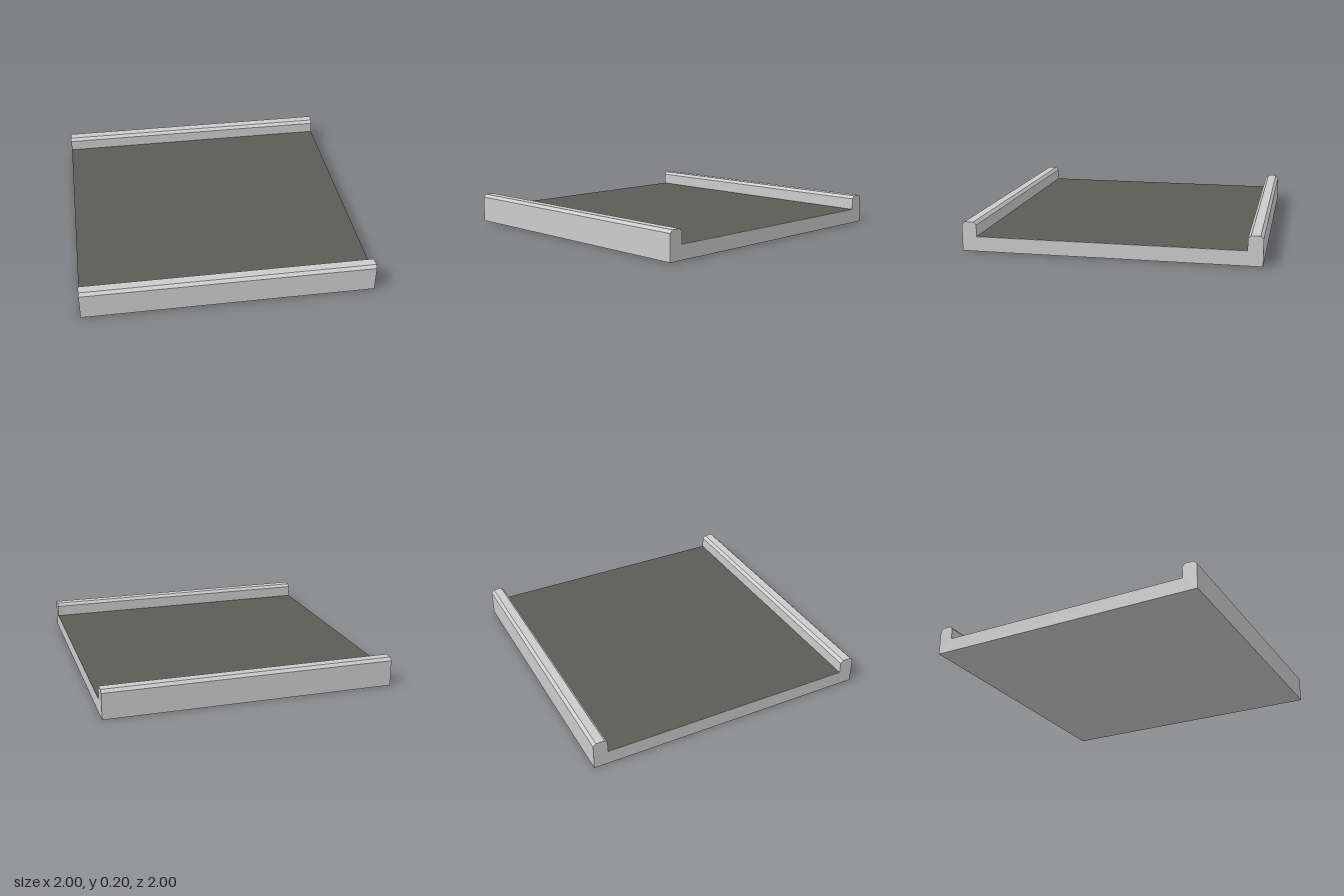
import * as THREE from 'three';

const LENGTH = 2;      // along x
const HALF = 1;        // half width along z
const DECK = 0.1;      // deck height
const RAIL_TOP = 0.2;
const RAIL = 0.1;      // rail thickness
const CHAMFER = 0.02;

export function createModel() {
  const group = new THREE.Group();
  group.name = 'railedFloorTile';

  const lightGrey = new THREE.MeshStandardMaterial({ color: 0xcccccc });
  lightGrey.name = 'light grey';
  const darkGrey = new THREE.MeshStandardMaterial({ color: 0x5c5c56 });
  darkGrey.name = 'dark olive grey';

  // Channel cross-section: slab with a chamfered rail on each side
  const inner = HALF - RAIL;
  const rail = [
    [HALF, 0],
    [HALF, RAIL_TOP - CHAMFER],
    [HALF - CHAMFER, RAIL_TOP],
    [inner + CHAMFER, RAIL_TOP],
    [inner, RAIL_TOP - CHAMFER],
    [inner, DECK],
  ];
  const mirrored = rail.map(([z, y]) => [-z, y]).reverse();
  const section = new THREE.Shape([...rail, ...mirrored].map(([z, y]) => new THREE.Vector2(z, y)));

  const bodyGeometry = new THREE.ExtrudeGeometry(section, { depth: LENGTH, bevelEnabled: false });
  bodyGeometry.translate(0, 0, -LENGTH / 2);
  bodyGeometry.rotateY(-Math.PI / 2);
  const body = new THREE.Mesh(bodyGeometry, lightGrey);
  body.name = 'slabWithRails';
  group.add(body);

  // Dark floor surface between the rails
  const floorGeometry = new THREE.PlaneGeometry(LENGTH, inner * 2);
  floorGeometry.rotateX(-Math.PI / 2);
  const floor = new THREE.Mesh(floorGeometry, darkGrey);
  floor.name = 'floorSurface';
  floor.position.y = DECK + 0.001;
  group.add(floor);

  return group;
}
